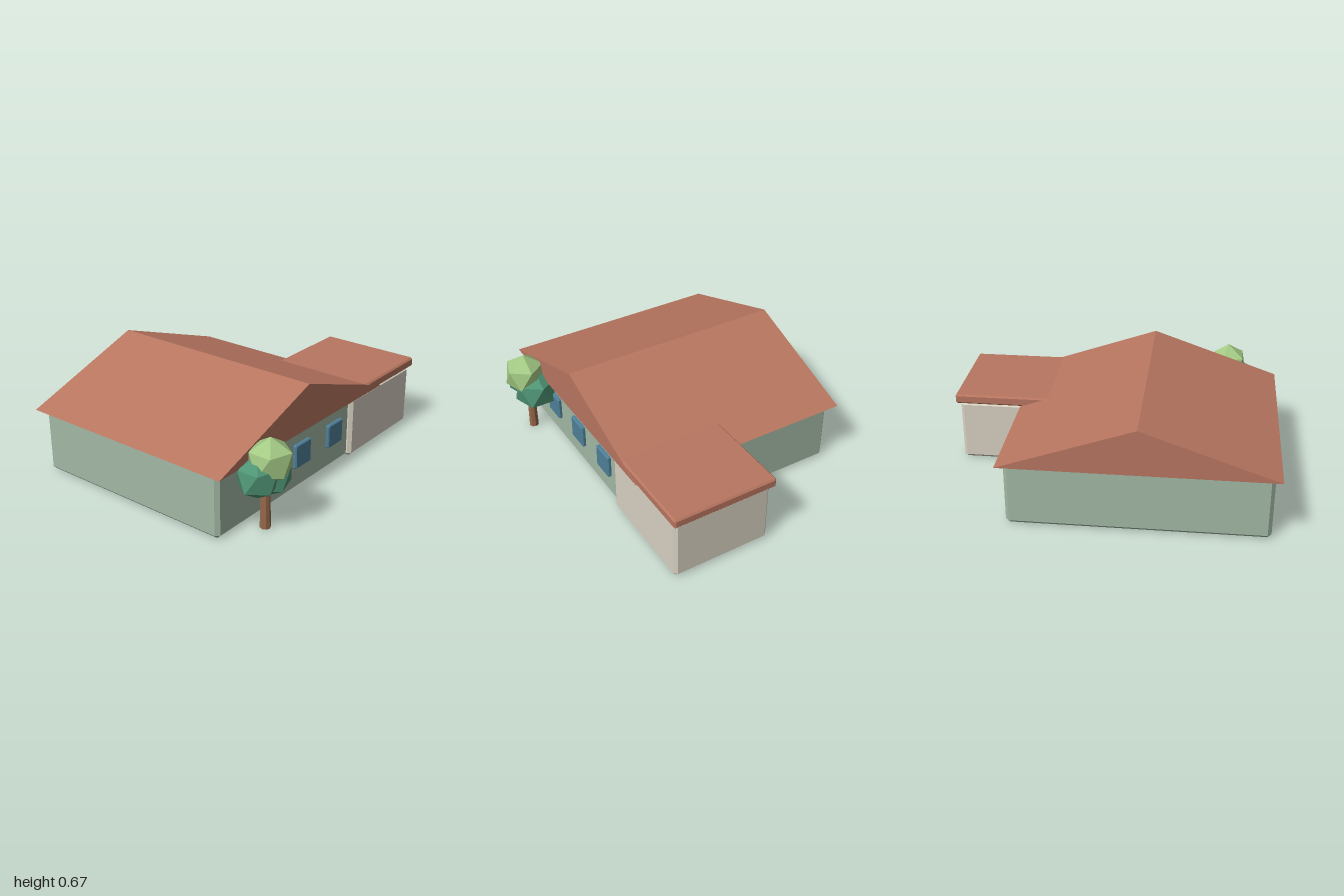
import * as THREE from 'three';
import { ConvexGeometry } from 'three/addons/geometries/ConvexGeometry.js';

const COLORS = {
  roof: 0xb87660, wall: 0xa2b9a5, garage: 0xd8d1c2, glass: 0x4f8099,
  trunk: 0x96694a, leafLight: 0xa3c984, leafDark: 0x4f9475,
};

function part(name, geometry, color) {
  const mesh = new THREE.Mesh(geometry, new THREE.MeshStandardMaterial({ color, flatShading: true }));
  mesh.name = name;
  return mesh;
}

// Box between two corners with every edge cut by a flat chamfer c
function chamferBox(name, min, max, c, color) {
  const points = [];
  const mid = min.map((v, i) => (v + max[i]) / 2);
  const half = min.map((v, i) => (max[i] - v) / 2);
  for (const sx of [-1, 1]) for (const sy of [-1, 1]) for (const sz of [-1, 1]) {
    for (let face = 0; face < 3; face++) {
      const p = half.map((h, i) => [sx, sy, sz][i] * (h - (i === face ? 0 : c)));
      points.push(new THREE.Vector3(...p));
    }
  }
  const mesh = part(name, new ConvexGeometry(points), color);
  mesh.position.set(...mid);
  return mesh;
}

// Faceted crown lobe: an icosahedron standing on one corner
function crown(name, radius, position, color) {
  const geometry = new THREE.IcosahedronGeometry(radius, 0);
  geometry.rotateZ(-Math.atan(2 / (1 + Math.sqrt(5))));
  const mesh = part(name, geometry, color);
  mesh.position.set(...position);
  return mesh;
}

export function createModel() {
  const model = new THREE.Group();
  model.name = 'house';

  // Main body and front side wing
  model.add(chamferBox('mainWalls', [-0.96, 0, -0.765], [0.55, 0.392, 0.555], 0.022, COLORS.wall));
  model.add(chamferBox('garageWalls', [0.285, 0.001, -0.035], [0.972, 0.394, 0.583], 0.02, COLORS.garage));

  // Gable roof, extruded front to back
  const gable = new THREE.Shape([
    new THREE.Vector2(-0.998, 0.392),
    new THREE.Vector2(0.588, 0.392),
    new THREE.Vector2(-0.205, 0.667),
  ]);
  const gableGeometry = new THREE.ExtrudeGeometry(gable, { depth: 1.413, bevelEnabled: false });
  gableGeometry.translate(0, 0, -0.812);
  model.add(part('gableRoof', gableGeometry, COLORS.roof));

  // Flat slab roof over the wing
  model.add(chamferBox('garageRoof', [0.405, 0.392, -0.056], [0.996, 0.452, 0.599], 0.01, COLORS.roof));

  // Row of front windows
  const windows = new THREE.Group();
  windows.name = 'windows';
  for (const x of [-0.54, -0.207, 0.126]) {
    windows.add(chamferBox('window', [x - 0.075, 0.148, 0.535], [x + 0.075, 0.298, 0.577], 0.007, COLORS.glass));
  }
  model.add(windows);

  // Tree in the front garden
  const tree = new THREE.Group();
  tree.name = 'tree';
  const trunk = part('trunk', new THREE.CylinderGeometry(0.026, 0.031, 0.3, 8), COLORS.trunk);
  trunk.position.set(-0.69, 0.15, 0.666);
  tree.add(
    trunk,
    crown('topCrown', 0.135, [-0.687, 0.42, 0.694], COLORS.leafLight),
    crown('leftCrown', 0.145, [-0.64, 0.315, 0.648], COLORS.leafDark),
    crown('rightCrown', 0.128, [-0.75, 0.333, 0.66], COLORS.leafDark),
  );
  model.add(tree);

  return model;
}
